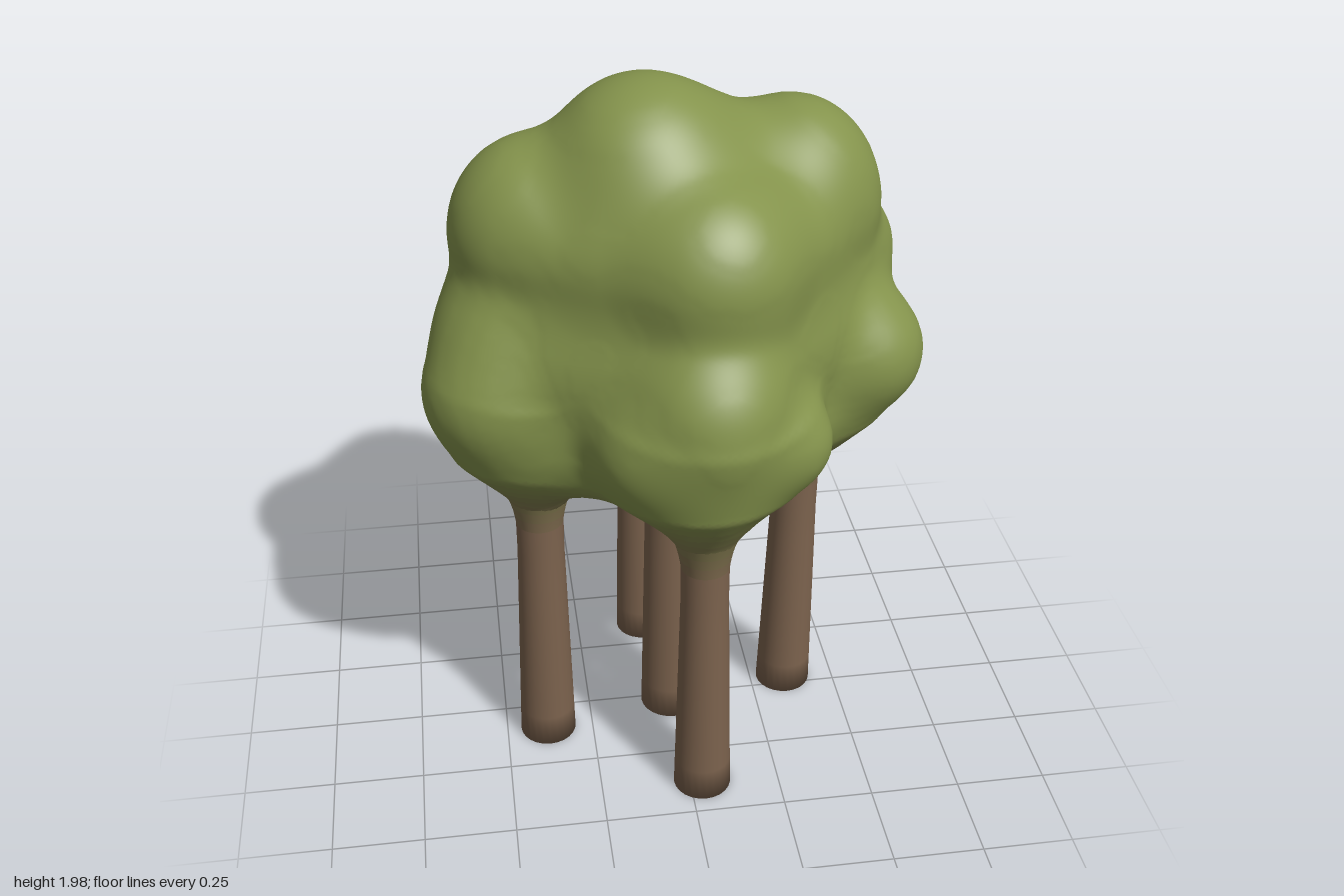
import * as THREE from 'three';
import { mergeVertices } from 'three/addons/utils/BufferGeometryUtils.js';

// Trunk axes: foot x, z, top x, z and extra radius
const TRUNKS = [
  [-0.38, 0.09, -0.375, 0.085, 0],
  [0.35, -0.04, 0.36, -0.03, 0],
  [0.035, 0.375, 0.04, 0.355, 0],
  [-0.045, -0.355, -0.05, -0.335, 0],
  [-0.005, 0.015, -0.005, 0.015, 0.008],
];

// Rounded diamond slabs: plan corners, bottom and top of the core, rounding
const SLABS = [
  { corners: [[-0.34, 0.02], [0.06, 0.27], [0.32, -0.03], [-0.08, -0.26]], y0: 1.38, y1: 1.56, r: 0.22 },
  { corners: [[-0.38, 0.09], [0.03, 0.32], [0.37, 0], [-0.04, -0.34]], y0: 1.1, y1: 1.25, r: 0.195 },
];

// Leaf lumps: x, y, z, radius
const LUMPS = [
  [0, 1.2, 0, 0.36], [0, 1.5, 0, 0.37],
  // lower ring
  [-0.46, 1.19, 0.13, 0.2], [0.485, 1.2, 0.06, 0.18], [0.04, 1.24, 0.395, 0.2],
  [-0.03, 1.13, -0.4, 0.19], [0.22, 1.14, 0.39, 0.13], [-0.1, 1.15, 0.39, 0.15],
  // middle bumps
  [-0.42, 1.33, 0.06, 0.185], [0.46, 1.43, -0.11, 0.15], [0.38, 1.3, -0.15, 0.15],
  [0.13, 1.4, -0.33, 0.14], [-0.18, 1.38, -0.28, 0.165],
  // shoulders and crown
  [0.31, 1.655, -0.04, 0.215], [-0.33, 1.62, 0.02, 0.205], [0.1, 1.67, 0, 0.2],
  [0.05, 1.58, 0.26, 0.21], [-0.08, 1.59, -0.24, 0.21], [-0.07, 1.72, 0.045, 0.255],
];

// Height bands that fade from bark to leaf
const BARK = new THREE.Color(0x7b624d);
const LEAF = new THREE.Color(0x84934c);
const BANDS = Array.from({ length: 10 }, (_, i) => ({
  top: i === 9 ? 9 : 0.74 + i * 0.034,
  material: new THREE.MeshStandardMaterial({ color: BARK.clone().lerp(LEAF, i / 9), roughness: 1 }),
}));

// Trunk radius by height: slight taper, then a flare into the leaves
const trunkRadius = (y) => 0.08 - 0.017 * Math.min(1, y / 0.72) + 1.3 * Math.max(0, y - 0.7) ** 2;

const smoothMin = (a, b, k) => {
  const h = Math.max(k - Math.abs(a - b), 0) / k;
  return Math.min(a, b) - h * h * k * 0.25;
};

// Distance in plan to a convex polygon, zero inside
function polygonDistance(corners, x, z) {
  let outside = false;
  let best = 9;
  corners.forEach(([ax, az], i) => {
    const [bx, bz] = corners[(i + 1) % corners.length];
    const [ex, ez, px, pz] = [bx - ax, bz - az, x - ax, z - az];
    if (ex * pz - ez * px > 0) outside = true;
    const t = THREE.MathUtils.clamp((px * ex + pz * ez) / (ex * ex + ez * ez), 0, 1);
    best = Math.min(best, Math.hypot(px - ex * t, pz - ez * t));
  });
  return outside ? best : 0;
}

// Soft union of the slabs, the lumps and the flared trunk tops
function field(x, y, z) {
  let d = 9;
  for (const { corners, y0, y1, r } of SLABS) {
    const dy = Math.max(y0 - y, y - y1, 0);
    d = smoothMin(d, Math.hypot(polygonDistance(corners, x, z), dy) - r, 0.12);
  }
  for (const [cx, cy, cz, r] of LUMPS) d = smoothMin(d, Math.hypot(x - cx, y - cy, z - cz) - r, 0.075);
  for (const [, , tx, tz, extra] of TRUNKS) {
    const tuck = 0.06 * Math.max(0, 0.91 - y);
    const side = Math.hypot(x - tx, z - tz) - trunkRadius(Math.min(y, 1)) - extra + tuck;
    d = smoothMin(d, Math.max(side, 0.81 - y, y - 1.15), 0.13);
  }
  return d;
}

// Sphere whose points are drawn inward until they meet the field
function canopyGeometry() {
  let geo = new THREE.IcosahedronGeometry(1, 46);
  geo.deleteAttribute('uv');
  geo.deleteAttribute('normal');
  geo = mergeVertices(geo, 1e-4);
  const pos = geo.attributes.position;
  const v = new THREE.Vector3();
  for (let i = 0; i < pos.count; i++) {
    v.fromBufferAttribute(pos, i).normalize();
    let r = 1;
    for (let n = 0; n < 300 && r > 0.1; n++) {
      const d = field(v.x * r, 1.3 + v.y * r, v.z * r);
      if (d < 0.0008) break;
      r -= Math.max(d * 0.6, 0.0008);
    }
    pos.setXYZ(i, v.x * r, 1.3 + v.y * r, v.z * r);
  }
  geo.computeVertexNormals();
  return geo;
}

// Split the canopy faces by height so the lower flares take bark tones
function buildCanopy() {
  const group = new THREE.Group();
  group.name = 'canopy';
  const geo = canopyGeometry();
  const pos = geo.attributes.position;
  const faces = BANDS.map(() => []);
  const index = geo.index.array;
  for (let i = 0; i < index.length; i += 3) {
    const [a, b, c] = [index[i], index[i + 1], index[i + 2]];
    const y = (pos.getY(a) + pos.getY(b) + pos.getY(c)) / 3;
    faces[BANDS.findIndex((band) => y < band.top)].push(a, b, c);
  }
  faces.forEach((list, i) => {
    if (!list.length) return;
    const part = new THREE.BufferGeometry();
    part.setAttribute('position', pos);
    part.setAttribute('normal', geo.attributes.normal);
    part.setIndex(list);
    const mesh = new THREE.Mesh(part, BANDS[i].material);
    mesh.name = i === BANDS.length - 1 ? 'leaves' : 'canopyUnderside';
    group.add(mesh);
  });
  return group;
}

// One leaning trunk, lathed in matching colour bands
function buildTrunk([x0, z0, x1, z1, extra]) {
  const group = new THREE.Group();
  group.name = 'trunk';
  let from = 0;
  BANDS.slice(0, 8).forEach((band, i) => {
    const points = i === 0 ? [new THREE.Vector2(0, 0)] : [];
    const steps = i === 0 ? 8 : 2;
    for (let s = 0; s <= steps; s++) {
      const y = from + ((band.top - from) * s) / steps;
      points.push(new THREE.Vector2(trunkRadius(y) + extra, y));
    }
    const geo = new THREE.LatheGeometry(points, 24);
    const pos = geo.attributes.position;
    for (let k = 0; k < pos.count; k++) {
      const t = Math.min(1, pos.getY(k) / 0.72);
      pos.setX(k, pos.getX(k) + x0 + (x1 - x0) * t);
      pos.setZ(k, pos.getZ(k) + z0 + (z1 - z0) * t);
    }
    const mesh = new THREE.Mesh(geo, band.material);
    mesh.name = i === 0 ? 'trunkShaft' : 'trunkFlare';
    group.add(mesh);
    from = band.top;
  });
  return group;
}

export function createModel() {
  const model = new THREE.Group();
  model.name = 'treeCluster';
  model.add(buildCanopy());
  for (const trunk of TRUNKS) model.add(buildTrunk(trunk));
  return model;
}
